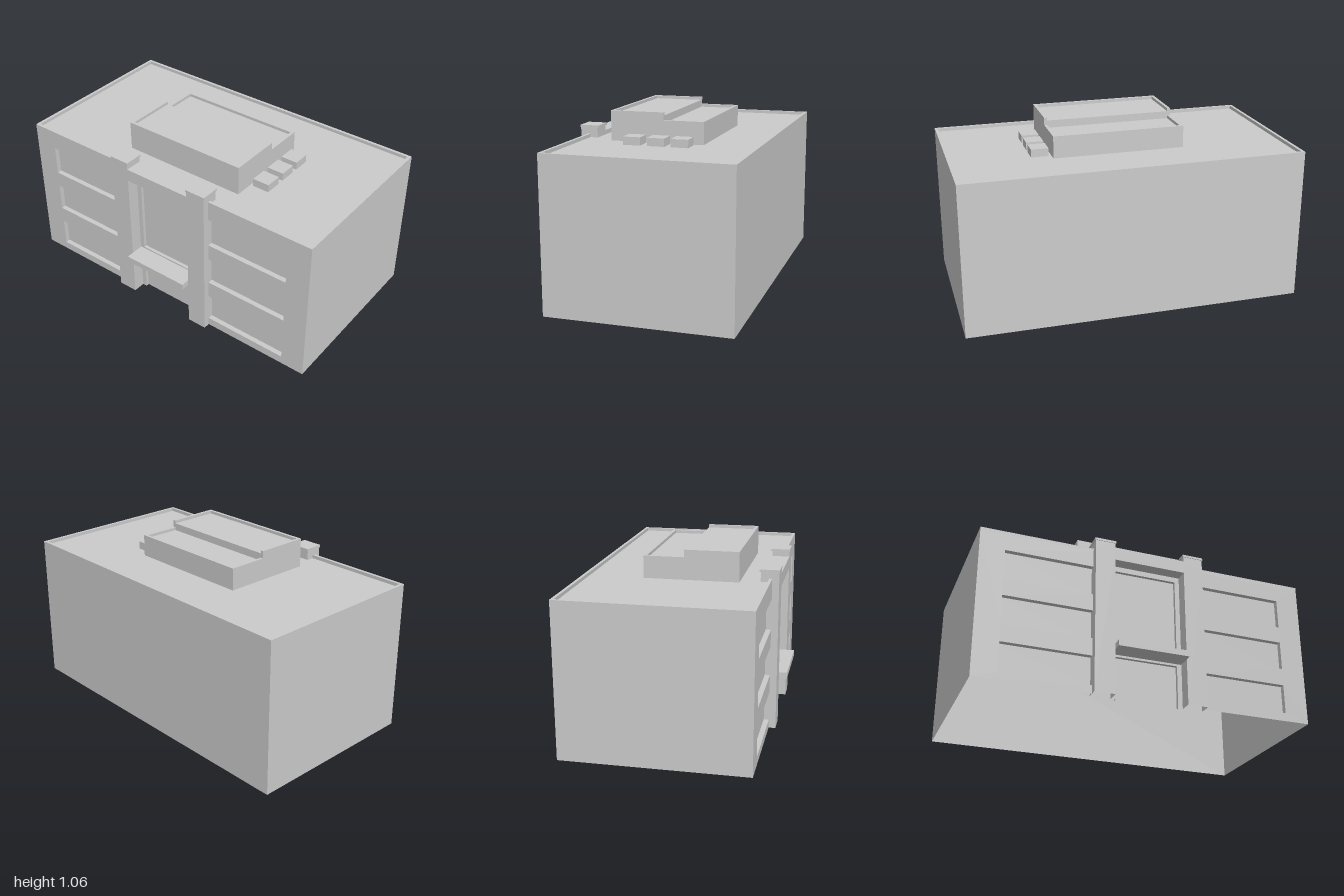
import * as THREE from 'three';

const material = new THREE.MeshStandardMaterial({ color: 0xcccccc, flatShading: true, side: THREE.DoubleSide });
const FACES = ['+x', '-x', '+y', '-y', '+z', '-z'];

const ROOF = 0.885, TOP = 0.905, FRONT = 0.495, BACK = -0.58;
const PORTAL = 0.535, ENTRY = 0.46;

function add(parent, name, geometry) {
  const mesh = new THREE.Mesh(geometry, material);
  mesh.name = name;
  parent.add(mesh);
  return mesh;
}

// Box given by its limits; the faces listed in omit are left open
function block(parent, name, [x0, x1], [y0, y1], [z0, z1], omit = []) {
  const geometry = new THREE.BoxGeometry(x1 - x0, y1 - y0, z1 - z0);
  geometry.translate((x0 + x1) / 2, (y0 + y1) / 2, (z0 + z1) / 2);
  const index = Array.from(geometry.index.array);
  geometry.setIndex(index.filter((_, i) => !omit.includes(FACES[Math.floor(i / 6)])));
  geometry.clearGroups();
  return add(parent, name, geometry);
}

function rect(x0, x1, y0, y1, Type = THREE.Shape) {
  return new Type([[x0, y0], [x1, y0], [x1, y1], [x0, y1]].map(p => new THREE.Vector2(...p)));
}

// One side of the front: wall notched by three window bands
function facade(parent, side) {
  const wing = new THREE.Group();
  wing.name = side > 0 ? 'leftFacade' : 'rightFacade';
  parent.add(wing);
  const inner = 0.335, outer = 0.855;
  const bands = [[0.05, 0.225], [0.33, 0.503], [0.605, 0.785]];
  const points = [[1, 0], [1, ROOF], [inner, ROOF]];
  for (const [low, high] of [...bands].reverse()) {
    points.push([inner, high], [outer, high], [outer, low], [inner, low]);
  }
  points.push([inner, 0]);
  const outline = points.map(([x, y]) => new THREE.Vector2(side * x, y));
  const wall = new THREE.ShapeGeometry(new THREE.Shape(outline));
  add(wing, 'frontWall', wall.translate(0, 0, FRONT));
  const span = side > 0 ? [inner, outer] : [-outer, -inner];
  for (const band of bands) block(wing, 'windowRecess', span, band, [0.465, FRONT], ['+z']);
}

// Tall entrance bay with two columns, lintel, glazing and canopy
function entrance(parent) {
  const bay = new THREE.Group();
  bay.name = 'entrance';
  parent.add(bay);
  for (const side of [-1, 1]) {
    const span = side > 0 ? [0.215, 0.335] : [-0.335, -0.215];
    block(bay, 'column', span, [0, ROOF], [ENTRY, PORTAL], ['+y', '-y', '-z']);
    block(bay, 'columnHead', span, [ROOF, 0.943], [0.43, PORTAL]);
    block(bay, 'columnCap', [span[0] - 0.004, span[1] + 0.004], [0.943, 0.957], [0.422, 0.538]);
  }
  block(bay, 'lintel', [-0.215, 0.215], [0.835, 0.912], [0.43, PORTAL]);

  // Frame with a doorway notch and one large window opening
  const w = 0.215, d = 0.187, door = 0.257;
  const frame = new THREE.Shape([
    [-w, 0], [-d, 0], [-d, door], [d, door], [d, 0], [w, 0], [w, 0.835], [-w, 0.835],
  ].map(p => new THREE.Vector2(...p)));
  frame.holes.push(rect(-d, d, 0.315, 0.803, THREE.Path));
  add(bay, 'entranceFrame', new THREE.ShapeGeometry(frame).translate(0, 0, ENTRY));
  block(bay, 'entranceWindow', [-d, d], [0.315, 0.803], [0.44, ENTRY], ['+z']);
  block(bay, 'doorRecess', [-d, d], [0, door], [0.44, ENTRY], ['+z', '-y']);
  block(bay, 'canopy', [-0.212, 0.212], [0.27, 0.306], [ENTRY, 0.583]);
}

// Roof structure section with a raised rim on its sides and one end
function penthouse(parent, name, [z0, z1], top, rimAtFront) {
  const section = new THREE.Group();
  section.name = name;
  parent.add(section);
  const x0 = -0.377, x1 = 0.405, rim = 0.018, floor = top - 0.018;
  block(section, 'penthouseWalls', [x0, x1], [ROOF, floor], [z0, z1], ['-y']);
  block(section, 'sideRim', [x0, x0 + rim], [floor, top], [z0, z1], ['-y']);
  block(section, 'sideRim', [x1 - rim, x1], [floor, top], [z0, z1], ['-y']);
  const end = rimAtFront ? [z1 - rim, z1] : [z0, z0 + rim];
  block(section, 'endRim', [x0 + rim, x1 - rim], [floor, top], end, ['-y']);
}

export function createModel() {
  const model = new THREE.Group();
  model.name = 'building';

  // Hollow shell, open underneath
  block(model, 'outerWalls', [-1, 1], [0, ROOF], [BACK, FRONT], ['+z', '-y']);
  for (const side of [-1, 1]) facade(model, side);
  entrance(model);

  // Parapet around the roof edge
  const rim = 0.018;
  const outline = rect(-1, 1, -FRONT, -BACK);
  outline.holes.push(rect(-1 + rim, 1 - rim, -FRONT + rim, -BACK - rim, THREE.Path));
  const parapet = new THREE.ExtrudeGeometry(outline, { depth: TOP - ROOF, bevelEnabled: false });
  add(model, 'parapet', parapet.rotateX(-Math.PI / 2).translate(0, ROOF, 0));

  // Stepped roof structure and the ventilation units beside it
  penthouse(model, 'upperPenthouse', [-0.003, 0.315], 1.06, true);
  penthouse(model, 'lowerPenthouse', [-0.24, -0.003], 1.016, false);
  for (const z of [-0.135, 0.005, 0.147]) {
    block(model, 'ventUnit', [0.422, 0.525], [ROOF, 0.932], [z - 0.051, z + 0.051], ['-y']);
  }
  return model;
}
